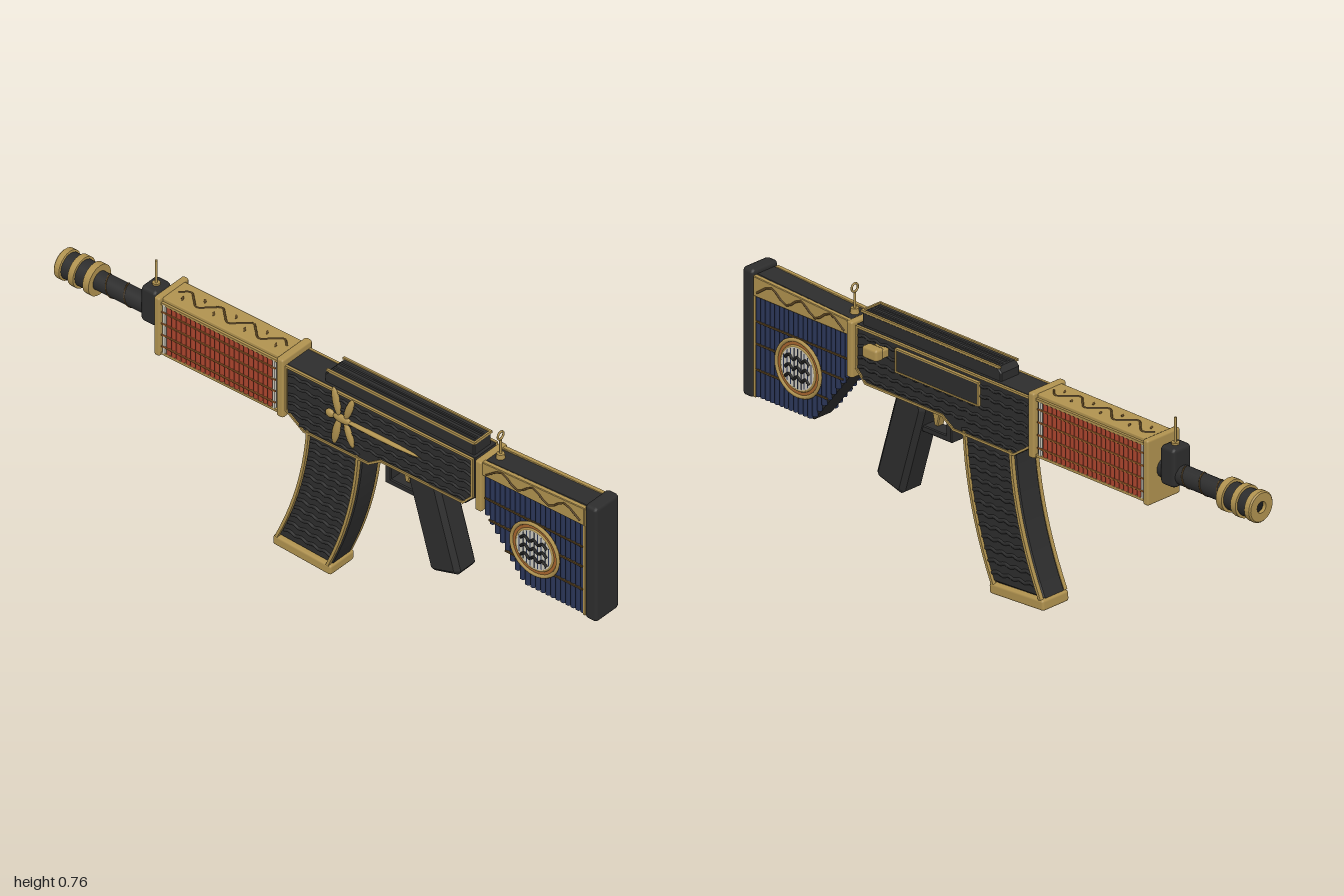
import * as THREE from 'three';
import { RoundedBoxGeometry } from 'three/addons/geometries/RoundedBoxGeometry.js';

const mat = (name, color) => Object.assign(new THREE.MeshStandardMaterial({ color }), { name });

export function createModel() {
  const black = mat('black', 0x2d2d2d), gold = mat('gold', 0xb0924f), red = mat('red', 0xa8432c);
  const navy = mat('navy', 0x2a3557), cream = mat('cream', 0xcfcbbd), copper = mat('copper', 0xa8662f);
  const brown = mat('brown', 0x5c4522), dark = mat('dark', 0x1b1b1b);
  const model = new THREE.Group();
  model.name = 'ornateRifle';
  const root = new THREE.Group();
  root.name = 'rifle';
  root.position.x = -0.015;
  model.add(root);

  // ---- helpers ----
  const add = (name, geo, m, x = 0, y = 0, z = 0) => {
    const mesh = new THREE.Mesh(geo, m);
    mesh.name = name;
    mesh.position.set(x, y, z);
    root.add(mesh);
    return mesh;
  };
  const box = (name, m, x, y, z, w, h, d) => add(name, new THREE.BoxGeometry(w, h, d), m, x, y, z);
  // box given by its y and z limits, centred on x, with soft edges
  const block = (name, m, w, y0, y1, z0, z1, r = 0.006) =>
    add(name, new RoundedBoxGeometry(w, y1 - y0, z1 - z0, 1, r), m, 0, (y0 + y1) / 2, (z0 + z1) / 2);
  // side profile of [z, y] points, extruded across x with a chamfer
  const slab = (name, m, pts, w, bevel = 0.006) => {
    const geo = new THREE.ExtrudeGeometry(new THREE.Shape(pts.map(p => new THREE.Vector2(...p))), {
      depth: w - 2 * bevel, bevelEnabled: bevel > 0, bevelThickness: bevel, bevelSize: bevel,
      bevelOffset: -bevel, bevelSegments: 1 });
    geo.translate(0, 0, bevel - w / 2).rotateY(-Math.PI / 2);
    return add(name, geo, m);
  };
  // square-section bars following [z, y] points on a side face at x
  const trim = (name, m, pts, x, t = 0.009, depth = 0.008) => {
    for (let i = 1; i < pts.length; i++) {
      const [z0, y0] = pts[i - 1], [z1, y1] = pts[i];
      const b = box(name, m, x, (y0 + y1) / 2, (z0 + z1) / 2, depth, t, Math.hypot(z1 - z0, y1 - y0) + t * 0.8);
      b.rotation.x = -Math.atan2(y1 - y0, z1 - z0);
    }
  };
  const tube = (name, m, pts, r, seg = 40) =>
    add(name, new THREE.TubeGeometry(new THREE.CatmullRomCurve3(pts.map(p => new THREE.Vector3(...p))), seg, r, 5), m);
  // wavy ridge running from (z0, y0) to (z1, y1) at x
  const wave = (name, m, x, z0, y0, z1, y1, amp, step, r) => {
    const n = Math.max(2, Math.round(Math.abs(z1 - z0) / step) * 2), pts = [];
    for (let i = 0; i <= n; i++) {
      const t = i / n;
      pts.push([x, y0 + (y1 - y0) * t + (i % 2 ? amp : -amp), z0 + (z1 - z0) * t]);
    }
    return tube(name, m, pts, r, n * 3);
  };
  const zCyl = (name, m, r, z0, z1, y = 0.585, r2 = r, seg = 20) =>
    add(name, new THREE.CylinderGeometry(r2, r, z1 - z0, seg).rotateX(Math.PI / 2), m, 0, y, (z0 + z1) / 2);
  const sides = [-1, 1];

  // ---- stock ----
  block('buttPad', black, 0.104, 0.3, 0.7, 0.955, 1, 0.012);
  slab('stockCore', black, [[0.96, 0.305], [0.73, 0.305], [0.585, 0.49], [0.57, 0.5], [0.57, 0.665], [0.96, 0.685]], 0.08);
  const stockBottom = z => z > 0.73 ? 0.31 : 0.31 + (0.73 - z) * 1.27;
  for (const s of sides) {
    for (let i = 0; i < 20; i++) {
      const z = 0.592 + i * 0.0185, y0 = stockBottom(z);
      add('stockSlat', new THREE.CylinderGeometry(0.0092, 0.0092, 0.63 - y0, 6), navy, s * 0.04, (0.63 + y0) / 2, z);
    }
    for (const [y, z0] of [[0.545, 0.59], [0.475, 0.605], [0.395, 0.665]])
      trim('stockCord', brown, [[z0, y], [0.945, y]], s * 0.049, 0.005, 0.005);
    trim('stockRearTrim', gold, [[0.952, 0.31], [0.952, 0.675]], s * 0.045, 0.008);
    slab('stockTopPlate', gold, [[0.58, 0.622], [0.955, 0.622], [0.955, 0.684], [0.58, 0.668]], 0.016, 0.002).position.x = s * 0.044;
    wave('stockVine', brown, s * 0.052, 0.595, 0.647, 0.94, 0.653, 0.017, 0.11, 0.0035);
    // medallion
    const disc = (name, m, r, x, t) =>
      add(name, new THREE.CylinderGeometry(r, r, t, 32).rotateZ(Math.PI / 2), m, s * x, 0.455, 0.775);
    disc('medallionBase', copper, 0.085, 0.05, 0.008);
    disc('medallionFace', cream, 0.065, 0.053, 0.008);
    for (const [r, t, m] of [[0.086, 0.006, gold], [0.067, 0.004, gold]])
      add('medallionRing', new THREE.TorusGeometry(r, t, 6, 36).rotateY(Math.PI / 2), m, s * 0.054, 0.455, 0.775);
    for (const y of [-0.03, 0, 0.03])
      wave('medallionWave', dark, s * 0.058, 0.727, 0.455 + y, 0.823, 0.455 + y, 0.006, 0.035, 0.005);
    for (let i = -4; i <= 4; i++)
      box('medallionGroove', navy, s * 0.0565, 0.455, 0.775 + i * 0.0135, 0.003, 2 * Math.sqrt(0.0038 - (i * 0.0135) ** 2), 0.003);
  }
  block('stockCollar', gold, 0.118, 0.495, 0.67, 0.558, 0.582);

  // ---- receiver ----
  const body = [[0.55, 0.665], [0.55, 0.525], [0.515, 0.49], [0.21, 0.49], [0.165, 0.46], [-0.075, 0.46], [-0.14, 0.505], [-0.14, 0.665]];
  slab('receiver', black, body, 0.104);
  const rowSpan = { 0.48: [0.13, -0.09], 0.51: [0.52, -0.13], 0.54: [0.54, -0.13], 0.57: [0.54, -0.13], 0.605: [0.54, -0.13], 0.637: [0.54, -0.13] };
  for (const s of sides) {
    trim('receiverTrim', gold, [...body, body[0]].map(([z, y]) => [z * 0.99, y - (y > 0.6 ? 0.004 : -0.005)]), s * 0.052, 0.007);
    for (const y in rowSpan)
      wave('receiverRidge', black, s * 0.052, rowSpan[y][0], +y, rowSpan[y][1], +y, 0.003, 0.045, 0.005);
  }
  // top rail
  slab('topRail', black, [[0.54, 0.655], [0.54, 0.705], [0.005, 0.705], [-0.01, 0.69], [-0.01, 0.655]], 0.076, 0.004);
  for (const s of sides) {
    trim('railEdge', gold, [[0.54, 0.706], [0, 0.706]], s * 0.036, 0.007, 0.007);
    for (let i = 1; i < 3; i++) tube('railRidge', black, [[s * 0.012 * i - s * 0.004, 0.704, 0.53], [s * 0.012 * i - s * 0.004, 0.704, 0.01]], 0.004, 4);
  }
  box('railEndTrim', gold, 0, 0.706, 0.539, 0.076, 0.008, 0.006);
  // side port and charging handle
  box('portPanel', black, 0.054, 0.61, 0.222, 0.012, 0.07, 0.325);
  trim('portTrim', gold, [[0.385, 0.575], [0.06, 0.575], [0.06, 0.645], [0.385, 0.645], [0.385, 0.575]], 0.057, 0.005, 0.01);
  add('chargingHandleStem', new RoundedBoxGeometry(0.03, 0.026, 0.05, 1, 0.004), gold, 0.06, 0.62, 0.445);
  add('chargingHandle', new RoundedBoxGeometry(0.034, 0.038, 0.06, 1, 0.009), gold, 0.083, 0.62, 0.452);

  // dragonfly ornament
  const blob = (y, z, ry, rz, tilt = 0) => {
    const b = add('dragonflyOrnament', new THREE.SphereGeometry(1, 12, 8), gold, -0.056, y, z);
    b.scale.set(0.009, ry, rz);
    b.rotation.x = tilt;
  };
  blob(0.578, 0.2, 0.007, 0.16);
  blob(0.578, 0.07, 0.014, 0.035);
  blob(0.578, 0.025, 0.014, 0.016);
  for (const s of sides) {
    blob(0.578 + s * 0.052, 0.048, 0.048, 0.013, -s * 0.2);
    blob(0.578 + s * 0.044, 0.095, 0.043, 0.012, s * 0.35);
  }

  // ---- rear ring sight ----
  add('rearSightPost', new THREE.CylinderGeometry(0.004, 0.004, 0.07, 8), gold, 0, 0.695, 0.605);
  add('rearSightRing', new THREE.TorusGeometry(0.0125, 0.0033, 8, 24), gold, 0, 0.745, 0.605);
  add('rearSightBase', new THREE.CylinderGeometry(0.012, 0.014, 0.02, 10), gold, 0, 0.673, 0.605);

  // ---- grip and trigger ----
  slab('grip', black, [[0.405, 0.5], [0.485, 0.225], [0.475, 0.21], [0.39, 0.185], [0.375, 0.195], [0.295, 0.47], [0.3, 0.5]], 0.09, 0.014);
  slab('triggerGuard', black, [[0.325, 0.4], [0.2, 0.4], [0.2, 0.48], [0.222, 0.48], [0.222, 0.42], [0.325, 0.42]], 0.05, 0.003);
  slab('trigger', gold, [[0.29, 0.495], [0.285, 0.46], [0.278, 0.427], [0.266, 0.427], [0.258, 0.46], [0.255, 0.495]], 0.028, 0.003);

  // ---- curved magazine ----
  const magY = t => 0.47 - 0.435 * t;
  const rear = t => [0.13 - 0.025 * t - 0.085 * t * t, magY(t)];
  const front = t => [-0.068 - 0.03 * t - 0.085 * t * t, magY(t) + 0.012 * t];
  const steps = Array.from({ length: 11 }, (_, i) => i / 10);
  slab('magazine', black, [...steps.map(rear), ...steps.map(front).reverse()], 0.09, 0.008);
  for (const s of sides) {
    trim('magazineRearTrim', gold, steps.map(rear).map(([z, y]) => [z - 0.008, y]), s * 0.048, 0.009, 0.013);
    trim('magazineFrontTrim', gold, steps.map(front).map(([z, y]) => [z + 0.008, y]), s * 0.048, 0.009, 0.013);
    for (let i = 1; i < 13; i++) {
      const [z0, y0] = rear(i / 13), [z1, y1] = front(i / 13);
      wave('magazineRidge', black, s * 0.045, z0 - 0.016, y0, z1 + 0.016, y1, 0.003, 0.045, 0.006);
    }
  }
  block('magazineBase', gold, 0.106, 0.006, 0.04, -0.19, 0.025, 0.008).rotation.x = 0.055;

  // ---- handguard ----
  block('handguardCore', black, 0.1, 0.487, 0.67, -0.6, -0.155, 0.012);
  block('handguardTop', gold, 0.1, 0.665, 0.682, -0.6, -0.155, 0.004);
  for (const [z0, z1] of [[-0.166, -0.14], [-0.616, -0.594]])
    block('handguardCollar', gold, 0.132, 0.483, 0.687, z0, z1, 0.007);
  for (const s of sides) {
    for (let i = 0; i < 22; i++)
      add('handguardSlat', new THREE.CylinderGeometry(0.009, 0.009, 0.172, 6), red, s * 0.05, 0.58, -0.198 - i * 0.0177);
    for (const z of [-0.181, -0.584]) box('handguardEndStrip', cream, s * 0.052, 0.58, z, 0.012, 0.172, 0.008);
    for (const y of [0.52, 0.56, 0.6, 0.64]) trim('handguardCord', copper, [[-0.175, y], [-0.59, y]], s * 0.0585, 0.0045, 0.004);
    for (const y of [0.493, 0.667]) trim('handguardEdge', gold, [[-0.165, y], [-0.595, y]], s * 0.052, 0.008, 0.012);
  }
  // vine along the handguard top
  const vine = Array.from({ length: 15 }, (_, i) => [Math.sin(i * Math.PI / 2) * 0.022, 0.682, -0.18 - i * 0.0285]);
  tube('handguardVine', brown, vine, 0.0032, 90);
  for (let i = 1; i < 14; i += 2) {
    const [x, y, z] = vine[i];
    const leaf = add('vineLeaf', new THREE.SphereGeometry(1, 8, 6), brown, -x * 0.7, y, z);
    leaf.scale.set(0.011, 0.002, 0.004);
    leaf.rotation.y = 0.6;
  }

  // ---- barrel ----
  zCyl('barrel', black, 0.03, -0.97, -0.6);
  block('sightBlock', black, 0.072, 0.55, 0.672, -0.69, -0.632, 0.012);
  add('frontSightPost', new THREE.CylinderGeometry(0.004, 0.004, 0.09, 8), gold, 0, 0.71, -0.66);
  add('frontSightBase', new THREE.CylinderGeometry(0.012, 0.012, 0.008, 10), gold, 0, 0.674, -0.66);
  const spiral = Array.from({ length: 25 }, (_, i) =>
    [Math.sin(i * 0.6) * 0.0295, 0.585 + Math.cos(i * 0.6) * 0.0295, -0.7 - i * 0.0065]);
  tube('barrelVine', brown, spiral, 0.0025, 80);
  zCyl('muzzleSleeve', black, 0.042, -0.985, -0.875);
  for (const [z0, z1] of [[-0.89, -0.868], [-0.945, -0.925]]) zCyl('muzzleRing', gold, 0.05, z0, z1);
  // muzzle tip with open bore
  const tip = [[0.018, -0.02], [0.018, 0], [0.044, 0], [0.048, -0.004], [0.048, -0.022], [0.04, -0.024]]
    .map(([r, h]) => new THREE.Vector2(r, h)).reverse();
  add('muzzleTip', new THREE.LatheGeometry(tip, 24).toNonIndexed().rotateX(-Math.PI / 2), gold, 0, 0.585, -1).geometry.computeVertexNormals();
  zCyl('bore', dark, 0.019, -0.988, -0.98);
  return model;
}
